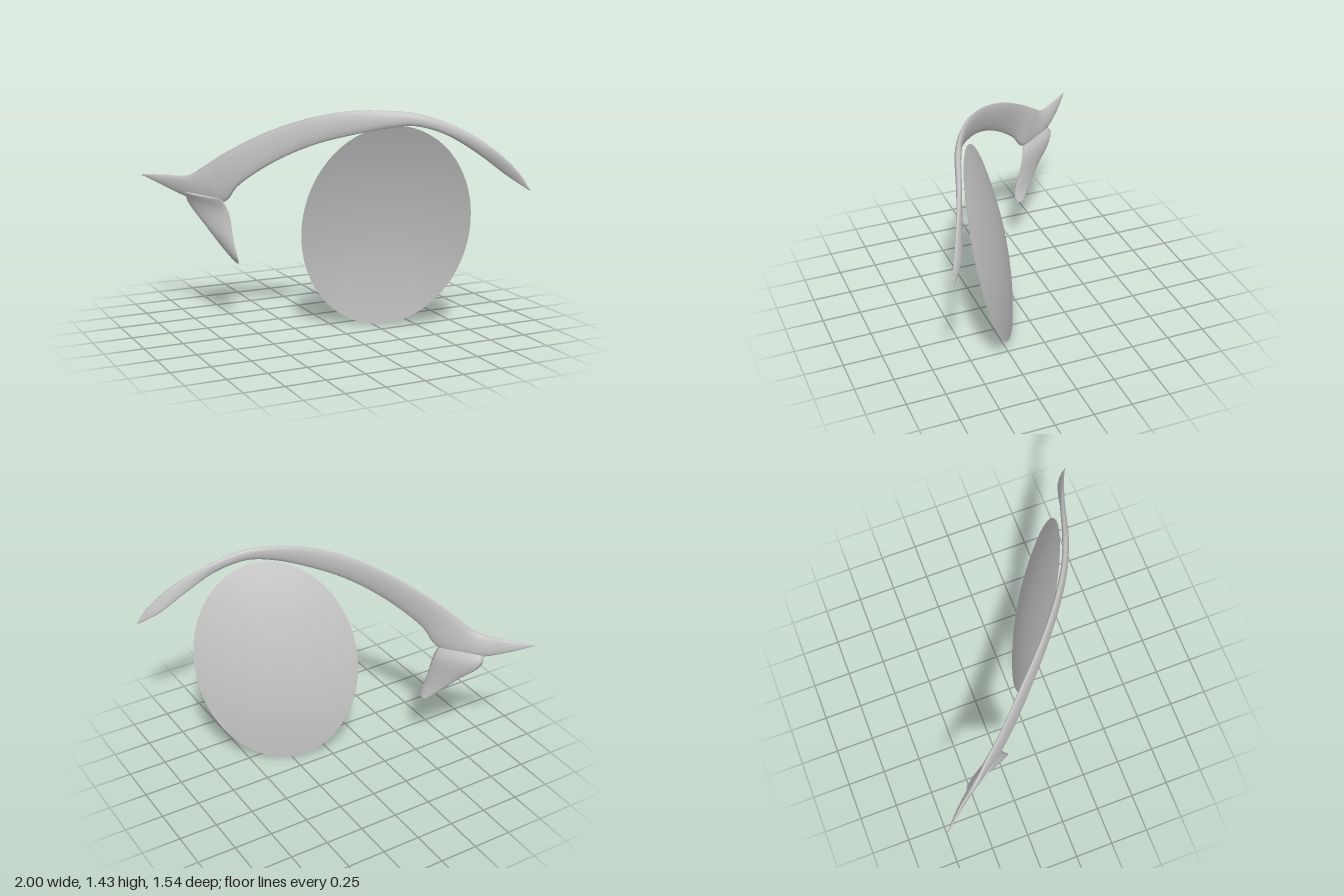
import * as THREE from 'three';

const V = (a) => new THREE.Vector3(...a);

// Smooth closed blade with a lens section, lofted between two edge curves.
// Each station is [edgeA, edgeB, half thickness].
function blade(stations, steps, sides = 12) {
  const a = new THREE.CatmullRomCurve3(stations.map((s) => V(s[0])));
  const b = new THREE.CatmullRomCurve3(stations.map((s) => V(s[1])));
  const thick = (t) => {
    const f = t * (stations.length - 1);
    const i = Math.min(Math.floor(f), stations.length - 2);
    return THREE.MathUtils.lerp(stations[i][2], stations[i + 1][2], f - i);
  };
  const mid = (t) => a.getPoint(t).add(b.getPoint(t)).multiplyScalar(0.5);
  const pos = [];
  const index = [];
  for (let i = 0; i <= steps; i++) {
    const t = i / steps;
    const m = mid(t);
    const w = a.getPoint(t).sub(m);
    const along = mid(Math.min(1, t + 0.01)).sub(mid(Math.max(0, t - 0.01)));
    const n = along.cross(w).normalize().multiplyScalar(thick(t));
    for (let j = 0; j < sides; j++) {
      const ang = (j / sides) * Math.PI * 2;
      const p = m.clone().addScaledVector(w, Math.cos(ang)).addScaledVector(n, Math.sin(ang));
      pos.push(p.x, p.y, p.z);
      if (i < steps) {
        const k = (j + 1) % sides;
        const p0 = i * sides + j, p1 = i * sides + k;
        index.push(p0, p1, p0 + sides, p1, p1 + sides, p0 + sides);
      }
    }
  }
  // End caps
  const last = steps * sides;
  for (let j = 1; j < sides - 1; j++) {
    index.push(0, j + 1, j, last, last + j, last + j + 1);
  }
  const g = new THREE.BufferGeometry();
  g.setAttribute('position', new THREE.Float32BufferAttribute(pos, 3));
  g.setIndex(index);
  g.computeVertexNormals();
  return g;
}

// Shallow oval dish spanned by two conjugate half axes
function ovalDish(center, u, v, depth) {
  const g = new THREE.RingGeometry(0.001, 1, 64, 12);
  const n = u.clone().cross(v).normalize();
  const p = g.attributes.position;
  for (let i = 0; i < p.count; i++) {
    const x = p.getX(i), y = p.getY(i);
    const q = center.clone().addScaledVector(u, x).addScaledVector(v, y)
      .addScaledVector(n, -depth * (1 - x * x - y * y));
    p.setXYZ(i, q.x, q.y, q.z);
  }
  g.computeVertexNormals();
  return g;
}

export function createModel() {
  const group = new THREE.Group();
  const grey = new THREE.MeshStandardMaterial({ color: 0xc4c4c4 });
  grey.name = 'grey';
  const greyOpen = new THREE.MeshStandardMaterial({ color: 0xc4c4c4, side: THREE.DoubleSide });
  greyOpen.name = 'grey open surface';

  const add = (name, geometry, material) => {
    const mesh = new THREE.Mesh(geometry, material);
    mesh.name = name;
    group.add(mesh);
  };

  // Leaning oval below the arch
  add('oval', ovalDish(V([0.26, 0.665, 0.275]), V([0.48, -0.02, 0.22]), V([0, 0.665, 0.15]), 0.08), greyOpen);

  // Long arch: upper edge, lower edge, half thickness
  add('arch', blade([
    [[-1, 0.943, -0.772], [-0.995, 0.935, -0.77], 0.002],
    [[-0.88, 0.95, -0.64], [-0.87, 0.865, -0.655], 0.014],
    [[-0.77, 0.96, -0.5], [-0.75, 0.805, -0.52], 0.022],
    [[-0.7, 1.02, -0.42], [-0.6, 0.81, -0.29], 0.024],
    [[-0.6, 1.12, -0.29], [-0.545, 0.92, -0.2], 0.02],
    [[-0.4, 1.27, -0.07], [-0.38, 1.085, -0.015], 0.02],
    [[-0.2, 1.37, 0.135], [-0.19, 1.205, 0.165], 0.02],
    [[0, 1.42, 0.3], [0.02, 1.28, 0.33], 0.02],
    [[0.17, 1.425, 0.41], [0.18, 1.318, 0.43], 0.02],
    [[0.36, 1.405, 0.495], [0.33, 1.332, 0.495], 0.02],
    [[0.6, 1.315, 0.58], [0.52, 1.275, 0.555], 0.017],
    [[0.8, 1.18, 0.67], [0.72, 1.15, 0.61], 0.014],
    [[0.93, 1.045, 0.735], [0.88, 1.02, 0.675], 0.009],
    [[1, 0.93, 0.772], [0.995, 0.928, 0.766], 0.002],
  ], 104), grey);

  // Pointed fin hanging under the rear end: front edge, rear edge, half thickness
  add('lowerFin', blade([
    [[-0.62, 0.83, -0.3], [-0.785, 0.85, -0.53], 0.016],
    [[-0.58, 0.74, -0.285], [-0.755, 0.775, -0.57], 0.024],
    [[-0.565, 0.57, -0.245], [-0.66, 0.6, -0.43], 0.022],
    [[-0.55, 0.455, -0.215], [-0.575, 0.46, -0.32], 0.012],
    [[-0.535, 0.407, -0.23], [-0.54, 0.407, -0.275], 0.004],
  ], 32), grey);

  return group;
}
